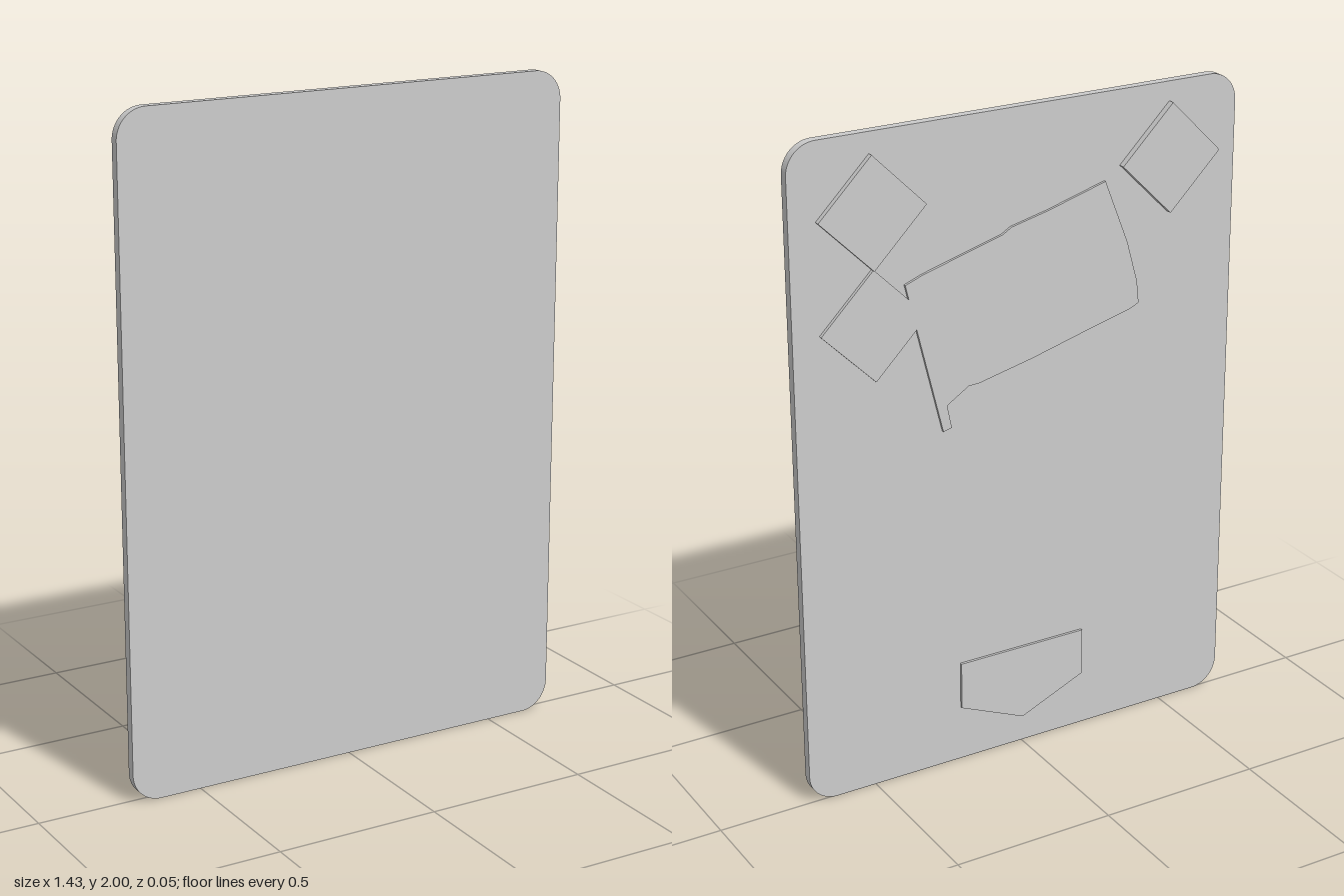
import * as THREE from 'three';

const FRONT = 0.024, BACK = -0.004; // z of the two plate faces

export function createModel() {
  const group = new THREE.Group();
  const material = new THREE.MeshStandardMaterial({ color: 0xcccccc });

  // Extrudes an x/y shape between two z planes
  function slab(name, shape, zBack, zFront) {
    const geometry = new THREE.ExtrudeGeometry(shape, {
      depth: zFront - zBack, bevelEnabled: false, curveSegments: 10,
    });
    geometry.translate(0, 0, zBack);
    const mesh = new THREE.Mesh(geometry, material);
    mesh.name = name;
    group.add(mesh);
  }

  // Raised relief on the back of the plate, slightly sunk into it
  function relief(name, points, height) {
    const shape = new THREE.Shape(points.map(([x, y]) => new THREE.Vector2(x, y)));
    slab(name, shape, BACK - height, BACK + 0.004);
  }

  // Main plate with rounded corners
  const w = 0.715, r = 0.088;
  const plate = new THREE.Shape();
  plate.absarc(w - r, r, r, -Math.PI / 2, 0);
  plate.absarc(w - r, 2 - r, r, 0, Math.PI / 2);
  plate.absarc(-w + r, 2 - r, r, Math.PI / 2, Math.PI);
  plate.absarc(-w + r, r, r, Math.PI, Math.PI * 1.5);
  plate.closePath();
  slab('plate', plate, BACK, FRONT);

  // Diamond tiles: centre x, centre y, height
  const d = 0.164;
  [
    ['upperLeftTile', 0.47, 1.775, 0.016],
    ['lowerLeftTile', 0.47, 1.45, 0.011],
    ['rightTile', -0.487, 1.778, 0.02],
  ].forEach(([name, x, y, h]) =>
    relief(name, [[x + d, y], [x, y + d], [x - d, y], [x, y - d]], h));

  // Irregular central panel with a narrow tail
  relief('centralPanel', [
    [0.373, 1.55], [0.317, 1.571], [0.064, 1.642], [0.036, 1.659], [-0.083, 1.687],
    [-0.272, 1.741], [-0.349, 1.546], [-0.384, 1.421], [-0.391, 1.353], [-0.363, 1.34],
    [-0.209, 1.3], [-0.034, 1.253], [0.142, 1.213], [0.177, 1.211], [0.247, 1.166],
    [0.233, 1.095], [0.26, 1.088],
  ], 0.008);

  // Five-sided badge near the bottom
  relief('lowerBadge', [
    [0.21, 0.325], [-0.21, 0.325], [-0.21, 0.176], [0, 0.085], [0.21, 0.176],
  ], 0.008);

  return group;
}
